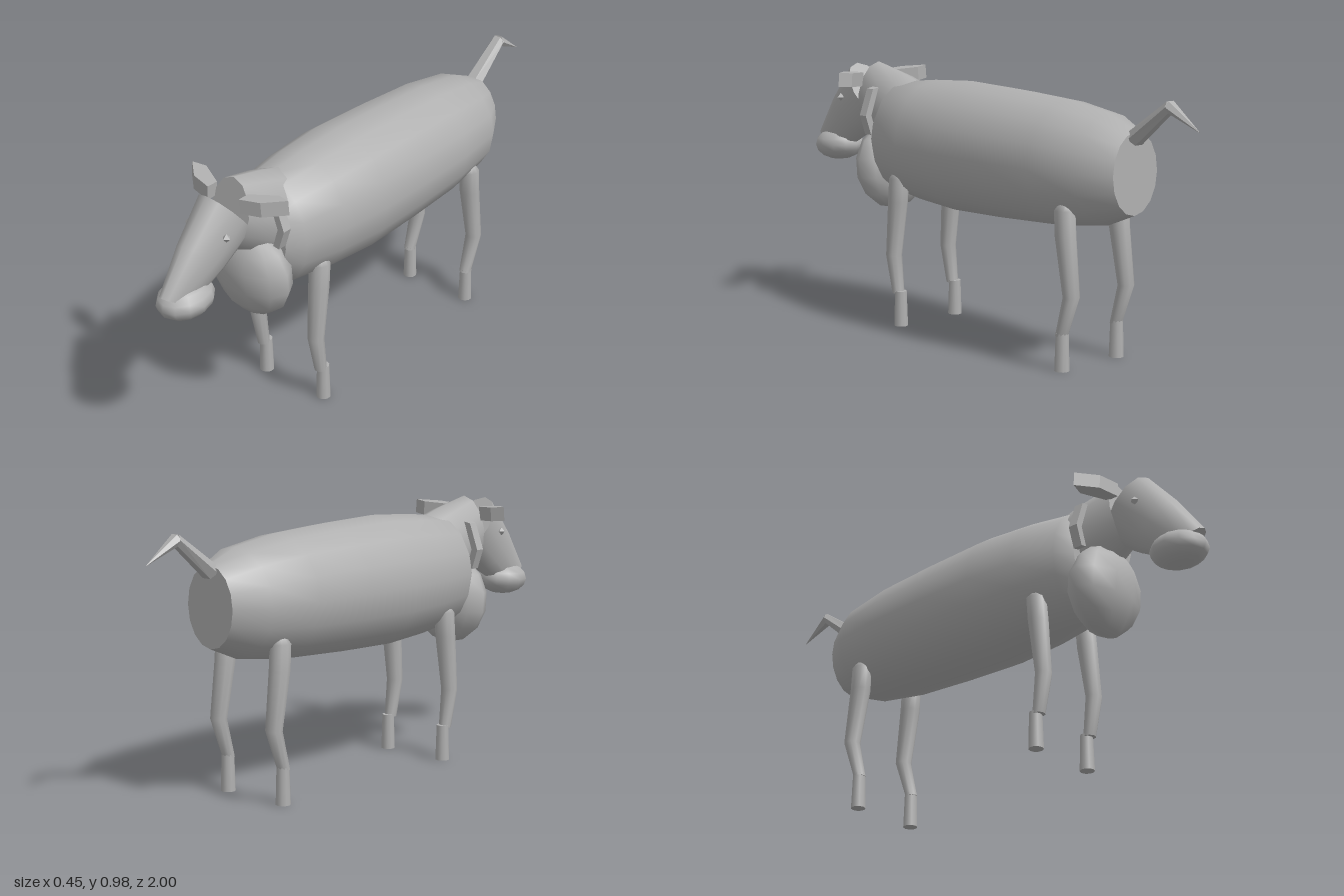
import * as THREE from 'three';

const hide = new THREE.MeshStandardMaterial({ color: 0xb0b0b0 });
hide.name = 'plain grey';

// Capped loft through elliptical rings: [x, y, z, half width, half height, tilt in degrees].
function loft(sections, sides, flat = false) {
  const pos = [], idx = [];
  const rings = sections.map(([x, y, z, rx, r, tilt = 0]) => {
    const t = THREE.MathUtils.degToRad(tilt), ring = [];
    for (let j = 0; j < sides; j++) {
      const a = (j / sides) * Math.PI * 2, u = r * Math.sin(a);
      ring.push([x + rx * Math.cos(a), y + u * Math.cos(t), z + u * Math.sin(t)]);
    }
    return ring;
  });
  rings.forEach((ring) => ring.forEach((p) => pos.push(...p)));
  for (let i = 0; i < rings.length - 1; i++) {
    for (let j = 0; j < sides; j++) {
      const k = (j + 1) % sides, a = i * sides + j, b = i * sides + k;
      idx.push(a, b, b + sides, a, b + sides, a + sides);
    }
  }
  // end caps use their own vertices so their edges stay sharp
  [0, rings.length - 1].forEach((i) => {
    const base = pos.length / 3;
    rings[i].forEach((p) => pos.push(...p));
    for (let j = 1; j < sides - 1; j++) {
      if (i === 0) idx.push(base, base + j + 1, base + j);
      else idx.push(base, base + j, base + j + 1);
    }
  });
  let g = new THREE.BufferGeometry();
  g.setAttribute('position', new THREE.Float32BufferAttribute(pos, 3));
  g.setIndex(idx);
  if (flat) g = g.toNonIndexed();
  g.computeVertexNormals();
  return g;
}

// Prism from an outline, mirrored with s = -1
function prism(points, depth, s) {
  const shape = new THREE.Shape(points.map(([x, y]) => new THREE.Vector2(x * s, y)));
  return new THREE.ExtrudeGeometry(shape, { depth, bevelEnabled: false });
}

export function createModel() {
  const model = new THREE.Group();
  const add = (name, geometry, x = 0, y = 0, z = 0) => {
    const m = new THREE.Mesh(geometry, hide);
    m.name = name;
    m.position.set(x, y, z);
    model.add(m);
    return m;
  };

  // Barrel body, rump to shoulder
  add('body', loft([
    [0, 0.705, -0.72, 0.11, 0.145],
    [0, 0.705, -0.6, 0.183, 0.195],
    [0, 0.705, -0.4, 0.209, 0.225],
    [0, 0.705, -0.15, 0.22, 0.238],
    [0, 0.705, 0.1, 0.225, 0.245],
    [0, 0.705, 0.3, 0.208, 0.232],
    [0, 0.705, 0.47, 0.175, 0.212],
    [0, 0.7, 0.53, 0.13, 0.15],
  ], 16));

  // Neck and head
  add('neck', loft([
    [0, 0.73, 0.36, 0.12, 0.17, -20],
    [0, 0.8, 0.53, 0.112, 0.152, -14],
    [0, 0.855, 0.66, 0.085, 0.127, -10],
  ], 12));
  add('head', loft([
    [0, 0.862, 0.685, 0.088, 0.133, 40],
    [0, 0.75, 0.81, 0.072, 0.11, 48],
    [0, 0.64, 0.93, 0.042, 0.077, 62],
  ], 12));
  const muzzle = add('muzzle', new THREE.SphereGeometry(1, 12, 8), 0, 0.63, 0.889);
  muzzle.scale.set(0.09, 0.063, 0.111);
  muzzle.rotation.x = 0.06;

  // Dewlap hanging at the chest
  const dewlap = add('dewlap', new THREE.SphereGeometry(1, 10, 7), 0, 0.583, 0.56);
  dewlap.scale.set(0.168, 0.169, 0.1);
  dewlap.rotation.x = 0.08;

  // Tail: a raised stem with a drooping tip
  add('tailStem', loft([
    [0, 0.825, -0.715, 0.036, 0.032, 223],
    [0, 0.95, -0.873, 0.026, 0.021, 200],
  ], 6, true));
  add('tailTip', loft([
    [0, 0.95, -0.868, 0.026, 0.022, 160],
    [0, 0.876, -1, 0.001, 0.001, 145],
  ], 6, true));

  const earOutline = [[0.07, 0.69], [0.15, 0.672], [0.218, 0.61], [0.165, 0.596], [0.07, 0.645]];
  const strapOutline = [[0.09, 0.895], [0.118, 0.89], [0.155, 0.79], [0.13, 0.715], [0.105, 0.72], [0.127, 0.79]];

  for (const s of [1, -1]) {
    const side = s > 0 ? 'left' : 'right';

    // Ear, a flat blade lying level and lifted at the tip
    const ear = add(side + 'Ear', prism(earOutline, 0.053, s), 0, 0.935, 0);
    ear.rotation.set(Math.PI / 2, 0.075 * s, 0, 'ZYX');
    ear.geometry.rotateX(Math.PI / 2);
    ear.rotation.set(0, 0, 0.085 * s);

    // Bent strip beside the neck
    add(side + 'NeckStrip', prism(strapOutline, 0.036, s), 0, 0, 0.53);

    // Eye
    add(side + 'Eye', new THREE.OctahedronGeometry(0.016), 0.085 * s, 0.835, 0.77);

    // Legs with a bent knee, and hooves
    for (const [name, top, thigh, knee, ankle, hoof] of [
      ['Front', 0.36, 0.367, 0.39, 0.366, 0.352],
      ['Back', -0.52, -0.525, -0.558, -0.512, -0.515],
    ]) {
      const x = 0.138 * s;
      add(side + name + 'Leg', loft([
        [x * 0.98, 0.592, top, 0.02, 0.022, 90],
        [x * 0.98, 0.57, top, 0.037, 0.038, 90],
        [x * 0.98, 0.48, thigh, 0.037, 0.039, 90],
        [x, 0.27, knee, 0.031, 0.03, 90],
        [x, 0.125, ankle, 0.023, 0.023, 90],
      ], 10));
      add(side + name + 'Hoof', new THREE.CylinderGeometry(0.023, 0.027, 0.135, 10), x, 0.0675, hoof);
    }
  }
  return model;
}
